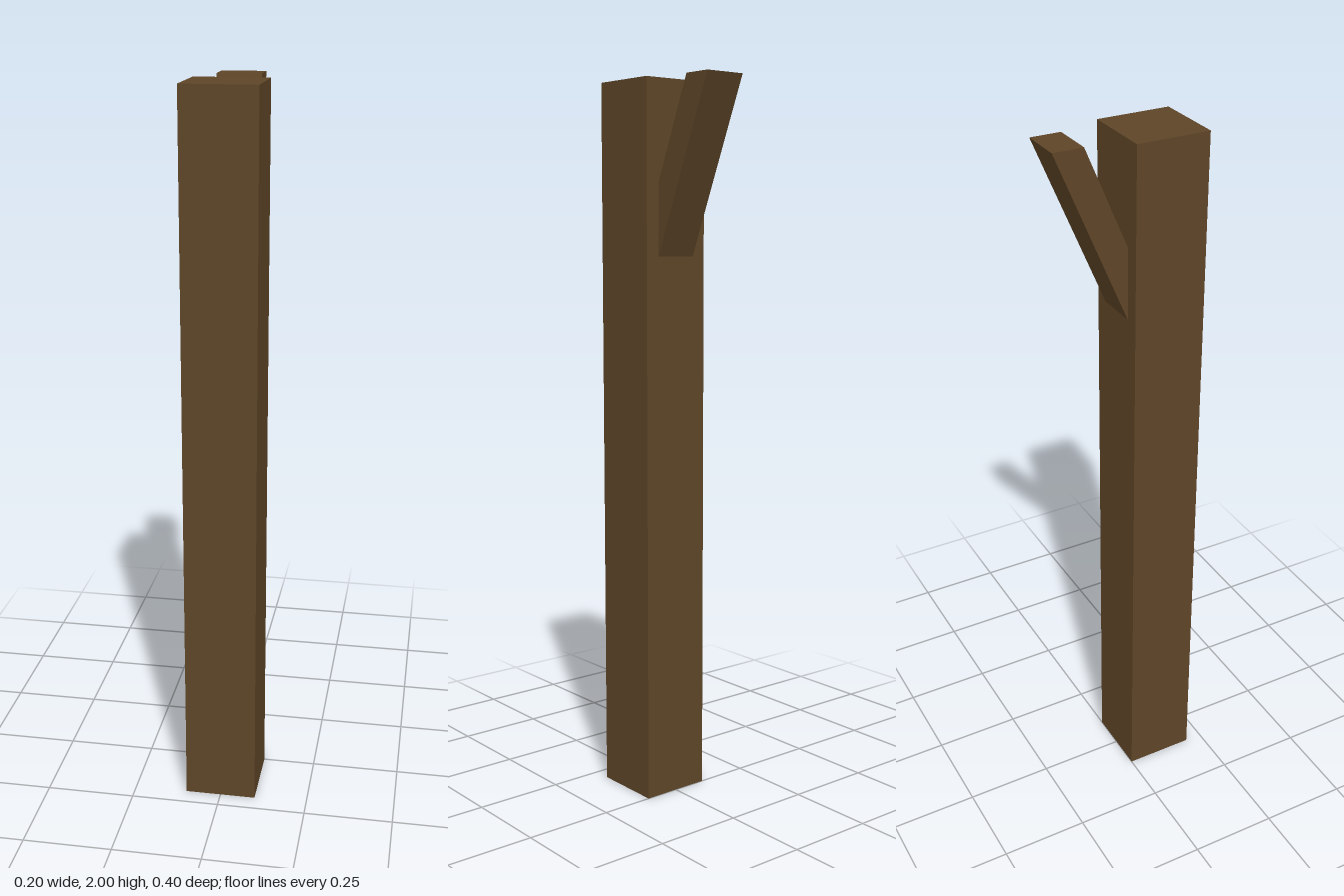
import * as THREE from 'three';

export function createModel() {
  const group = new THREE.Group();
  const wood = new THREE.MeshStandardMaterial({ color: 0x5e4528 });

  // Square upright post, standing in the front half of the footprint
  const post = new THREE.Mesh(new THREE.BoxGeometry(0.2, 2, 0.2), wood);
  post.name = 'post';
  post.position.set(0, 1, 0.1);
  group.add(post);

  // Slanted brace: side profile drawn as (distance behind post, height)
  const profile = new THREE.Shape([
    new THREE.Vector2(0, 1.53),
    new THREE.Vector2(0.2, 2),
    new THREE.Vector2(0.117, 2),
    new THREE.Vector2(0, 1.725),
  ]);
  const braceWidth = 0.12;
  const braceGeometry = new THREE.ExtrudeGeometry(profile, { depth: braceWidth, bevelEnabled: false });
  braceGeometry.rotateY(Math.PI / 2).translate(-braceWidth / 2, 0, 0);
  const brace = new THREE.Mesh(braceGeometry, wood);
  brace.name = 'brace';
  group.add(brace);

  return group;
}
